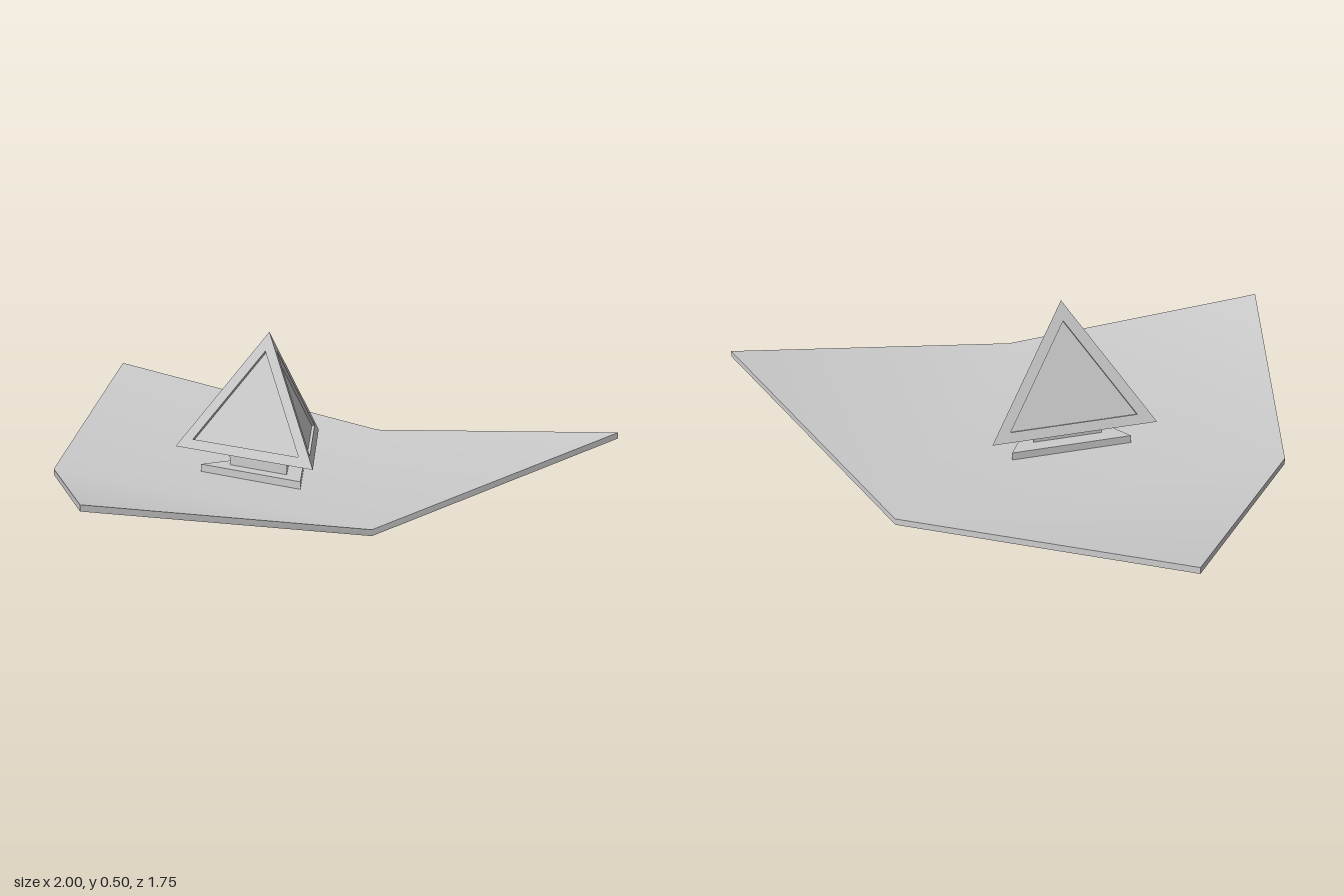
import * as THREE from 'three';
import { toCreasedNormals } from 'three/addons/utils/BufferGeometryUtils.js';

const material = new THREE.MeshStandardMaterial({ color: 0xcccccc });
const V = (x, y, z) => new THREE.Vector3(x, y, z);

// Collects triangles (corners counter-clockwise from outside)
class Skin {
  constructor() { this.points = []; }
  tri(a, b, c) { this.points.push(a, b, c); }
  quad(a, b, c, d) { this.tri(a, b, c); this.tri(a, c, d); }

  // Triangle with a smaller triangular recess sunk into it
  recessed(corners, scale, depth) {
    const [a, b, c] = corners;
    const centre = V(0, 0, 0).add(a).add(b).add(c).divideScalar(3);
    const normal = b.clone().sub(a).cross(c.clone().sub(a)).normalize();
    const rim = corners.map(p => centre.clone().lerp(p, scale));
    const floor = rim.map(p => p.clone().addScaledVector(normal, -depth));
    for (let i = 0; i < 3; i++) {
      const j = (i + 1) % 3;
      this.quad(corners[i], corners[j], rim[j], rim[i]);
      this.quad(rim[i], rim[j], floor[j], floor[i]);
    }
    this.tri(...floor);
  }

  mesh(name) {
    const geometry = new THREE.BufferGeometry().setFromPoints(this.points);
    const mesh = new THREE.Mesh(toCreasedNormals(geometry, 0.6), material);
    mesh.name = name;
    return mesh;
  }
}

// Flat triangle on the ground with three upturned wings
function makeWings() {
  const thickness = 0.02;
  const lows = [V(0.61, 0, 0.2), V(0, 0, -0.88), V(-0.62, 0, 0.2)];
  const tips = [V(0.995, 0.165, -0.71), V(-1, 0.165, -0.67), V(0.04, 0.145, 0.87)];
  const up = p => V(p.x, p.y + thickness, p.z);
  const skin = new Skin();
  skin.tri(...lows.map(up));
  skin.tri(lows[2], lows[1], lows[0]);
  for (let i = 0; i < 3; i++) {
    const a = lows[i], tip = tips[i], b = lows[(i + 1) % 3];
    skin.tri(up(a), up(tip), up(b));
    skin.recessed([b, tip, a], 0.57, 0.01);
    for (const [p, q] of [[a, tip], [tip, b]]) skin.quad(p, q, up(q), up(p));
  }
  return skin.mesh('wings');
}

// Three-sided pyramid with recessed panels
function makePyramid(centreZ) {
  const radius = 0.31, bottom = 0.105;
  const apex = V(0, 0.495, centreZ);
  const base = [0, 1, 2].map(i => {
    const angle = Math.PI / 3 + i * Math.PI * 2 / 3;
    return V(radius * Math.sin(angle), bottom, centreZ + radius * Math.cos(angle));
  });
  const skin = new Skin();
  for (let i = 0; i < 3; i++) skin.recessed([base[i], base[(i + 1) % 3], apex], 0.77, 0.01);
  skin.tri(base[2], base[1], base[0]);
  return skin.mesh('pyramid');
}

// Triangular slab pointing to the back
function makeSlab(name, radius, y0, y1, z) {
  const flat = material.clone();
  flat.flatShading = true;
  const mesh = new THREE.Mesh(new THREE.CylinderGeometry(radius, radius, y1 - y0, 3), flat);
  mesh.rotation.y = Math.PI;
  mesh.position.set(0, (y0 + y1) / 2, z);
  mesh.name = name;
  return mesh;
}

export function createModel() {
  const group = new THREE.Group();
  const centreZ = -0.165;
  group.add(
    makeWings(),
    makeSlab('footPlate', 0.226, 0.015, 0.045, centreZ),
    makeSlab('neck', 0.13, 0.04, 0.11, centreZ),
    makePyramid(centreZ)
  );
  return group;
}
